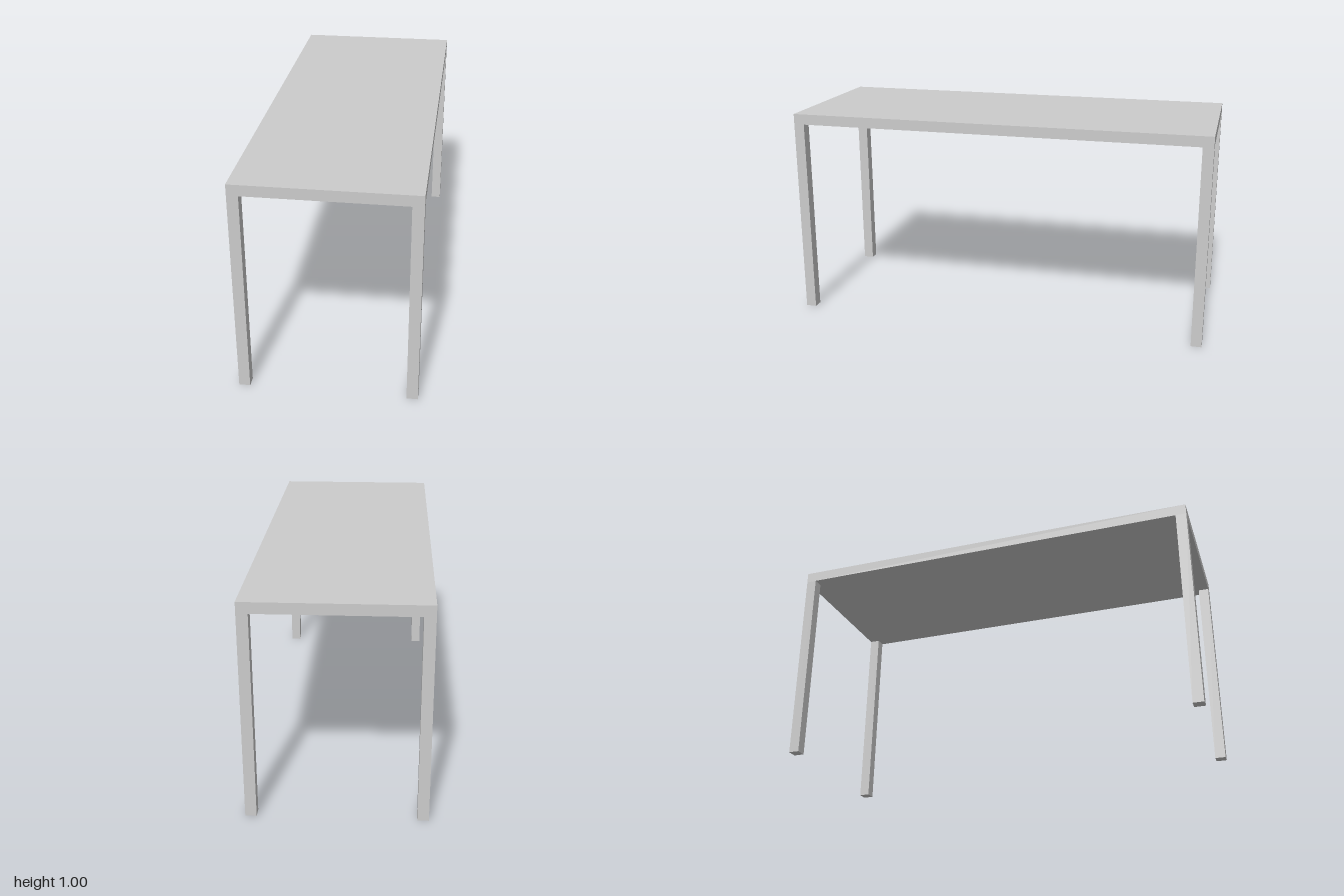
import * as THREE from 'three';

const WIDTH = 0.8, HEIGHT = 1, LENGTH = 2;
const TOP = 0.05; // tabletop thickness
const LEG = 0.05; // square leg section

export function createModel() {
  const table = new THREE.Group();
  table.name = 'table';
  const material = new THREE.MeshStandardMaterial({ color: 0xcccccc });

  // Solid tabletop slab
  const top = new THREE.Mesh(new THREE.BoxGeometry(WIDTH, TOP, LENGTH), material);
  top.name = 'tabletop';
  top.position.y = HEIGHT - TOP / 2;
  table.add(top);

  // Four square legs, flush with the corners
  const legHeight = HEIGHT - TOP;
  const legGeometry = new THREE.BoxGeometry(LEG, legHeight, LEG);
  for (const [zName, z] of [['front', 1], ['back', -1]]) {
    for (const [xName, x] of [['Left', 1], ['Right', -1]]) {
      const leg = new THREE.Mesh(legGeometry, material);
      leg.name = `${zName}${xName}Leg`;
      leg.position.set(x * (WIDTH - LEG) / 2, legHeight / 2, z * (LENGTH - LEG) / 2);
      table.add(leg);
    }
  }
  return table;
}
